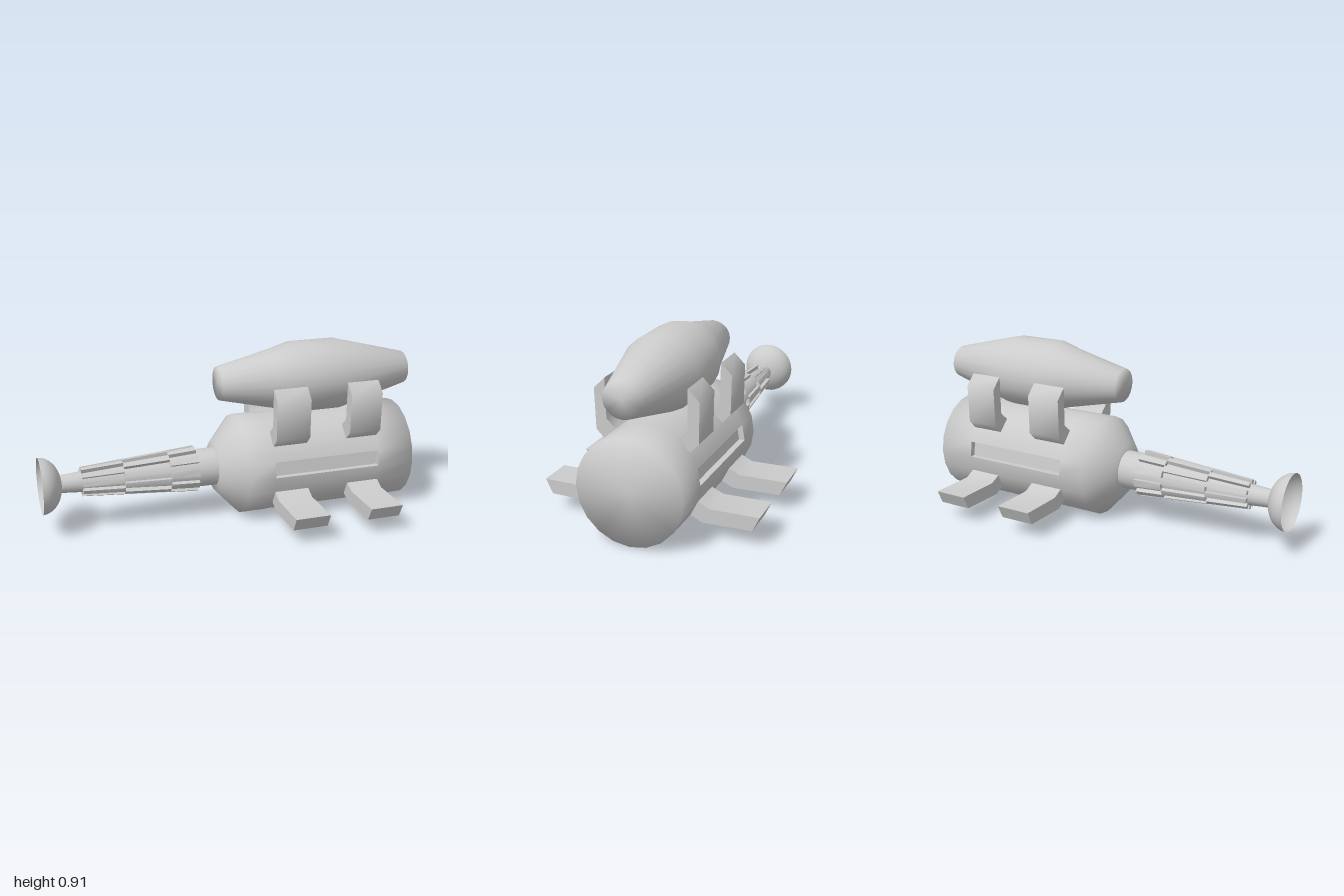
import * as THREE from 'three';
import { mergeVertices, toCreasedNormals } from 'three/addons/utils/BufferGeometryUtils.js';

const SIDES = 20;
const STEP = (Math.PI * 2) / SIDES;
const AXIS_Y = 0.27;
const material = new THREE.MeshStandardMaterial({ color: 0xcccccc });
const thinMaterial = new THREE.MeshStandardMaterial({ color: 0xcccccc, side: THREE.DoubleSide });

function addMesh(parent, name, geometry, mat = material) {
  const mesh = new THREE.Mesh(geometry, mat);
  mesh.name = name;
  parent.add(mesh);
  return mesh;
}

// Point on a ring around the x axis; face index 0 starts at +z and climbs towards +y
const ringPoint = (x, r, j) => [x, r * Math.sin(j * STEP), r * Math.cos(j * STEP)];

function quadsToGeometry(quads) {
  const positions = quads.flatMap(([a, b, c, d]) => [...a, ...b, ...c, ...a, ...c, ...d]);
  const geometry = new THREE.BufferGeometry();
  geometry.setAttribute('position', new THREE.Float32BufferAttribute(positions, 3));
  return geometry;
}

// Surface of revolution along x from [x, radius] pairs
function latheX(profile, sides = SIDES) {
  const points = profile.map(([x, r]) => new THREE.Vector2(r, x));
  return new THREE.LatheGeometry(points, sides).rotateZ(-Math.PI / 2);
}

// One ring face raised or sunk from base radii to top radii, with its side walls
function panelQuads(x0, x1, j, base, top) {
  const corners = ([r0, r1]) => [
    ringPoint(x0, r0, j), ringPoint(x1, r1, j), ringPoint(x1, r1, j + 1), ringPoint(x0, r0, j + 1),
  ];
  const low = corners(base);
  const high = corners(top);
  const quads = [high];
  for (let k = 0; k < 4; k++) {
    const n = (k + 1) % 4;
    quads.push([low[k], low[n], high[n], high[k]]);
  }
  return quads;
}

function createBody() {
  const body = new THREE.Group();
  body.name = 'body';
  const R = 0.267;
  const profile = [[-0.08, 0], [-0.08, 0.135], [0.04, R], [0.18, R], [0.765, R], [0.965, R], [0.965, 0]];
  const grooves = [0, 9, 13, 16];
  const shell = [];
  for (let i = 0; i < profile.length - 1; i++) {
    const [x0, r0] = profile[i];
    const [x1, r1] = profile[i + 1];
    for (let j = 0; j < SIDES; j++) {
      if (i === 3 && grooves.includes(j)) continue;
      shell.push([ringPoint(x0, r0, j), ringPoint(x1, r1, j), ringPoint(x1, r1, j + 1), ringPoint(x0, r0, j + 1)]);
    }
  }
  const shellGeometry = mergeVertices(quadsToGeometry(shell), 1e-4);
  shellGeometry.computeVertexNormals();
  addMesh(body, 'bodyShell', shellGeometry);

  // Long recesses along the sides and underside
  for (const j of grooves) {
    const geometry = quadsToGeometry(panelQuads(0.18, 0.765, j, [R, R], [0.237, 0.237]));
    geometry.computeVertexNormals();
    addMesh(body, 'sideGroove', geometry);
  }
  body.position.y = AXIS_Y;
  return body;
}

function createBoom() {
  const boom = new THREE.Group();
  boom.name = 'boom';
  addMesh(boom, 'boomCore', latheX([[-0.895, 0.046], [-0.79, 0.054], [-0.19, 0.1], [-0.07, 0.102]]));

  // Staggered armour plates in three bands
  const stations = [-0.79, -0.575, -0.335, -0.185];
  const coreRadius = (x) => 0.05 + (x + 0.79) * 0.075;
  const plateRadius = (x) => 0.076 + (x + 0.79) * 0.076;
  const quads = [];
  for (let i = 0; i < 3; i++) {
    const [x0, x1] = [stations[i], stations[i + 1]];
    for (let j = i % 2; j < SIDES; j += 2) {
      quads.push(...panelQuads(x0, x1, j,
        [coreRadius(x0), coreRadius(x1)], [plateRadius(x0), plateRadius(x1)]));
    }
  }
  addMesh(boom, 'boomPlates', toCreasedNormals(quadsToGeometry(quads), Math.PI / 6));

  // Open bowl at the tip
  const bowl = [];
  for (let k = 0; k <= 8; k++) {
    const a = (k / 8) * Math.PI / 2;
    bowl.push([-1 + 0.11 * Math.sin(a), 0.147 * Math.cos(a)]);
  }
  addMesh(boom, 'dish', latheX(bowl, 32), thinMaterial);
  boom.position.y = AXIS_Y;
  return boom;
}

function createPod() {
  const profile = [[-0.055, 0], [-0.055, 0.094], [0.24, 0.166], [0.35, 0.2], [0.61, 0.2], [1, 0.094], [1, 0]];
  const pod = new THREE.Mesh(latheX(profile), material);
  pod.name = 'upperPod';
  pod.scale.y = 0.94;
  pod.position.y = 0.728;
  return pod;
}

// Bent bracket: a [z, y] outline extruded along x
function bracketGeometry(outline, side, x0, x1) {
  const shape = new THREE.Shape(outline.map(([z, y]) => new THREE.Vector2(z * side, y)));
  const geometry = new THREE.ExtrudeGeometry(shape, { depth: x1 - x0, bevelEnabled: false });
  geometry.rotateY(-Math.PI / 2).translate(x1, 0, 0);
  return toCreasedNormals(geometry, Math.PI * 0.32);
}

export function createModel() {
  const model = new THREE.Group();
  model.name = 'model';
  model.add(createBody(), createBoom(), createPod());

  const clamp = [[0.208, 0.732], [0.265, 0.675], [0.26, 0.472], [0.215, 0.426], [0.156, 0.485], [0.205, 0.53]];
  const leg = [[0.253, 0.188], [0.31, 0.16], [0.555, 0.162], [0.52, 0.089], [0.275, 0.085], [0.215, 0.114]];
  for (const [x0, x1] of [[0.18, 0.365], [0.59, 0.765]]) {
    for (const side of [1, -1]) {
      addMesh(model, 'podClamp', bracketGeometry(clamp, side, x0, x1));
      addMesh(model, 'landingLeg', bracketGeometry(leg, side, x0, x1));
    }
  }
  return model;
}
